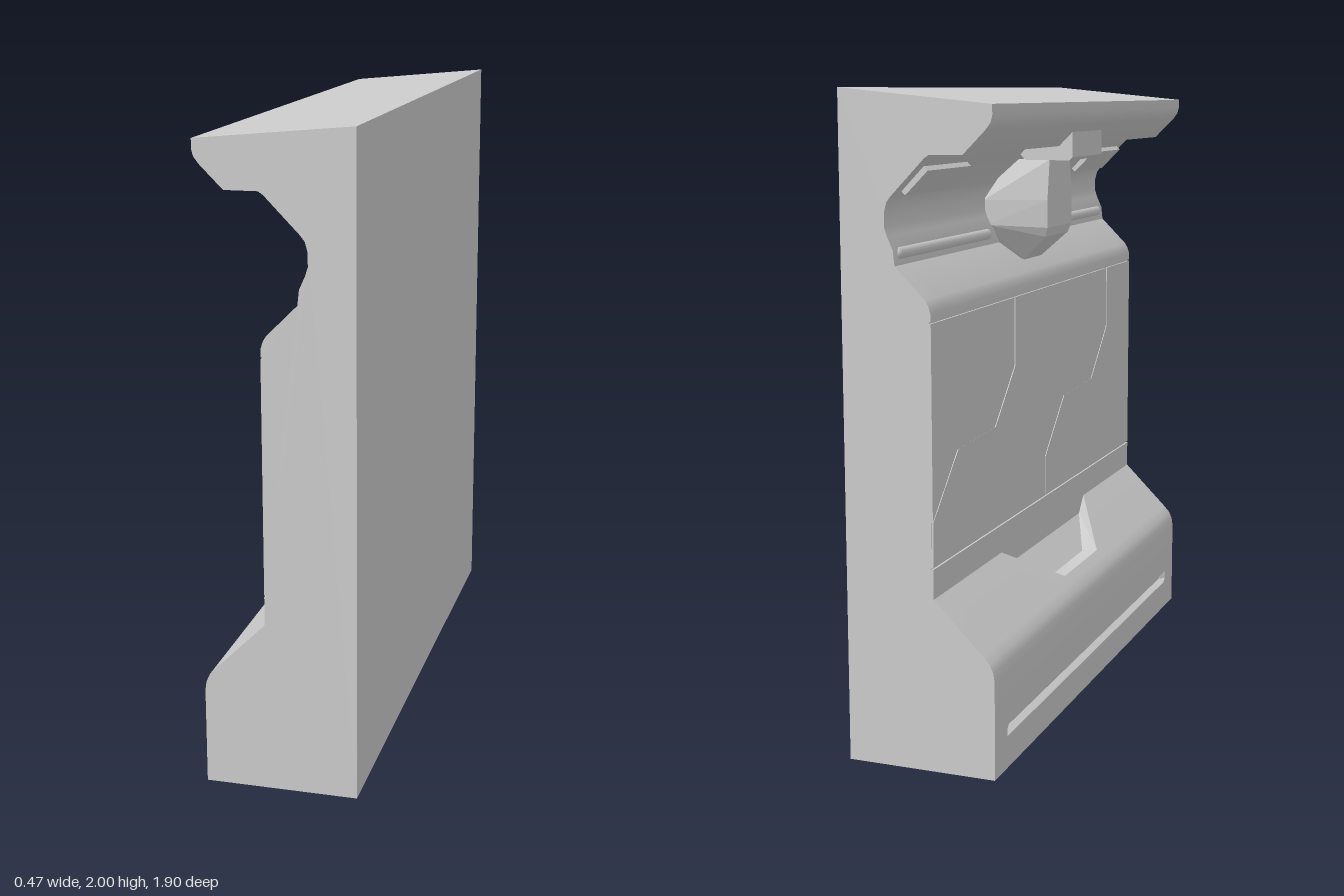
import * as THREE from 'three';
import { toCreasedNormals } from 'three/addons/utils/BufferGeometryUtils.js';
import { ConvexGeometry } from 'three/addons/geometries/ConvexGeometry.js';

const V = (x, y, z) => new THREE.Vector3(x, y, z);
const clamp = THREE.MathUtils.clamp;
const HALF = 0.95;

// Wall outline at depth z, including the lower groove and the pocket in the plinth slope
function outline(z) {
  const a = Math.abs(z);
  const groove = 0.02 * clamp((0.85 - a) / 0.02, 0, 1);
  const drop = 0.056 * clamp((0.41 - a) / 0.05, 0, 1);
  const onSlope = t => [-0.2 + 0.155 * t, 0.375 + 0.155 * t];
  const rim = onSlope(1 - 0.85 * clamp((0.41 - a) / 0.24, 0, 1));
  const floor = onSlope(1 - 0.52 * clamp((0.36 - a) / 0.2, 0, 1));
  return [
    [0.235, 0], [-0.235, 0],
    [-0.235, 0.1], [-0.235 + groove, 0.112], [-0.235 + groove, 0.122], [-0.235, 0.14],
    [-0.235, 0.3], [-0.231, 0.328], [-0.22, 0.353], [-0.2, 0.375],
    rim, [floor[0], floor[1] - drop], [-0.045, 0.53 - drop],
    [-0.045, 0.62], [-0.039, 0.62], [-0.039, 1.345], [-0.045, 1.345],
    [-0.044, 1.37], [-0.038, 1.39], [-0.028, 1.407],
    [0.065, 1.5], [0.07, 1.545], [0.088, 1.585], [0.096, 1.61], [0.096, 1.65], [0.088, 1.68], [0.075, 1.697],
    [-0.03, 1.805], [-0.045, 1.815], [-0.145, 1.815], [-0.215, 1.885], [-0.23, 1.905], [-0.235, 1.925],
    [-0.235, 1.955], [0.235, 2],
  ];
}

// Skin the outlines along z and close both ends
function wallGeometry() {
  const half = [0.16, 0.17, 0.36, 0.41, 0.83, 0.85, HALF];
  const stations = [...half.map(z => -z).reverse(), ...half];
  const rings = stations.map(z => outline(z).map(([x, y]) => V(x, y, z)));
  const pos = [];
  const tri = (a, b, c) => {
    const area = b.clone().sub(a).cross(c.clone().sub(a)).length();
    if (area > 1e-8) for (const p of [a, b, c]) pos.push(p.x, p.y, p.z);
  };
  for (let s = 0; s + 1 < rings.length; s++) {
    const r0 = rings[s], r1 = rings[s + 1], n = r0.length;
    for (let i = 0; i < n; i++) {
      const j = (i + 1) % n;
      tri(r0[i], r1[j], r0[j]);
      tri(r0[i], r1[i], r1[j]);
    }
  }
  const back = rings[0].slice().reverse();
  const front = rings[rings.length - 1].slice().reverse();
  const flat = front.map(p => new THREE.Vector2(p.x, p.y));
  for (const [a, b, c] of THREE.ShapeUtils.triangulateShape(flat, [])) {
    tri(front[a], front[b], front[c]);
    tri(back[a], back[c], back[b]);
  }
  const g = new THREE.BufferGeometry();
  g.setAttribute('position', new THREE.Float32BufferAttribute(pos, 3));
  return toCreasedNormals(g, 0.5);
}

const shapeOf = pts => new THREE.Shape(pts.map(p => new THREE.Vector2(...p)));
const extrude = (pts, depth) =>
  new THREE.ExtrudeGeometry(shapeOf(pts), { depth, bevelEnabled: false });

export function createModel() {
  const model = new THREE.Group();
  model.name = 'wallSegment';
  const material = new THREE.MeshStandardMaterial({ color: 0xcccccc });
  const add = (name, geometry) => {
    const mesh = new THREE.Mesh(geometry, material);
    mesh.name = name;
    model.add(mesh);
    return mesh;
  };

  add('wallBody', wallGeometry());

  // Facing plates split by two identical zigzag seams
  const gap = 0.004, low = 0.625, high = 1.34;
  const seam = (z0, side) => [[0, 0.76], [0.19, 0.94], [0.49, 0.95], [0.665, 1.12], [0.665, high]]
    .map(([z, y]) => [z0 + z + side * gap, y]);
  const first = -HALF, second = 0;
  const plates = {
    rearPlate: [...seam(first, -1).map(([z, y]) => [Math.max(z, -HALF), y]), [-HALF, high]],
    middlePlate: [[-HALF, low], [second - gap, low], ...seam(second, -1), ...seam(first, 1).reverse()],
    frontPlate: [[second + gap, low], [HALF, low], [HALF, high], ...seam(second, 1).reverse()],
  };
  for (const [name, pts] of Object.entries(plates)) {
    add(name, extrude(pts, 0.006).rotateY(-Math.PI / 2)).position.x = -0.039;
  }

  // Rails and strips in the channel, mirrored about the middle fixture
  for (const side of [-1, 1]) {
    const rail = add('channelRail', new THREE.CapsuleGeometry(0.02, 0.68, 6, 16));
    rail.rotation.x = Math.PI / 2;
    rail.position.set(0.08, 1.532, side * 0.565);

    const strip = add('channelStrip', new THREE.BoxGeometry(0.02, 0.1, 0.32));
    strip.rotation.z = Math.PI / 4;
    strip.position.set(0.024, 1.74, side * 0.74);
  }

  // Faceted fixture hanging in the channel
  const half = [
    [-0.095, 1.77, 0.1], [0.03, 1.77, 0.13],
    [-0.095, 1.64, 0.12], [0.1, 1.64, 0.19],
    [-0.095, 1.55, 0.12], [-0.085, 1.52, 0.11], [0.09, 1.56, 0.19],
    [0, 1.44, 0.08], [0.07, 1.47, 0.12],
  ];
  add('channelFixture', new ConvexGeometry(half.flatMap(([x, y, z]) => [V(x, y, z), V(x, y, -z)])));

  // Bracket under the cornice
  const bracket = [[-0.18, 1.77], [-0.03, 1.77], [0, 1.8], [-0.03, 1.83], [-0.145, 1.83],
    [-0.19, 1.865], [-0.19, 1.78]];
  add('corniceBracket', extrude(bracket, 0.3)).position.z = -0.15;

  return model;
}
